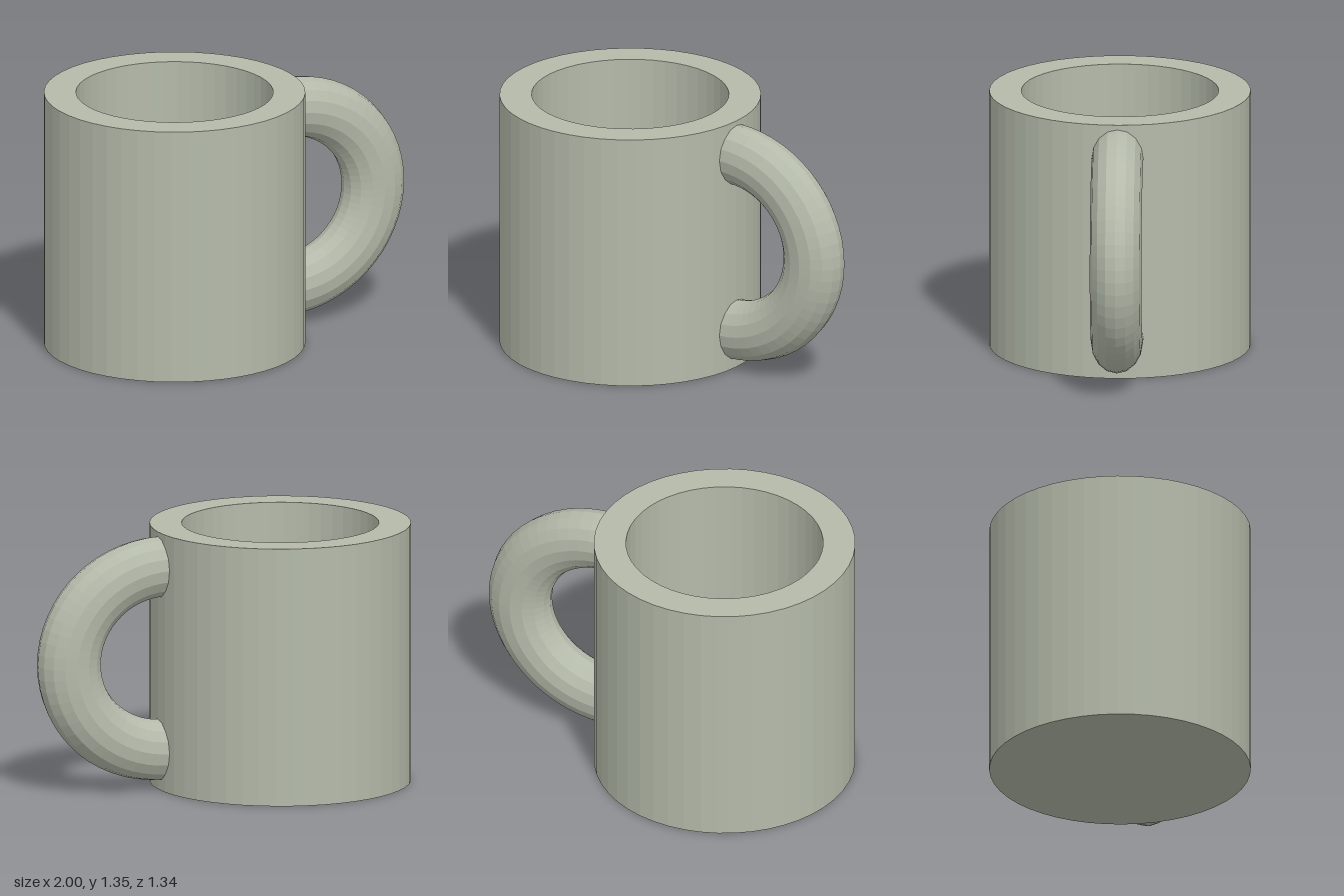
import * as THREE from 'three';

export function createModel() {
  const model = new THREE.Group();
  model.name = 'mug';

  const glaze = new THREE.MeshStandardMaterial({ color: 0xb4baaa, flatShading: true });
  glaze.name = 'grey green glaze';

  // Thick-walled cup: base, outer wall, flat rim, inner wall and floor
  const outer = 0.672, inner = 0.507, height = 1.35, floor = 0.165;
  const profile = [
    [0, 0], [outer, 0], [outer, height], [inner, height], [inner, floor], [0, floor],
  ].map(([x, y]) => new THREE.Vector2(x, y));
  const cup = new THREE.Mesh(new THREE.LatheGeometry(profile, 48), glaze);
  cup.name = 'cup';
  cup.position.x = -0.328;
  model.add(cup);

  // Half-ring handle, its ends sunk a little into the wall
  const sink = 0.1;
  const ring = new THREE.TorusGeometry(0.48, 0.159, 16, 32, Math.PI + 2 * sink);
  ring.rotateZ(-Math.PI / 2 - sink);
  ring.scale(1.06, 1, 0.835);
  const handle = new THREE.Mesh(ring, glaze);
  handle.name = 'handle';
  handle.position.set(0.323, 0.687, 0);
  model.add(handle);

  return model;
}
